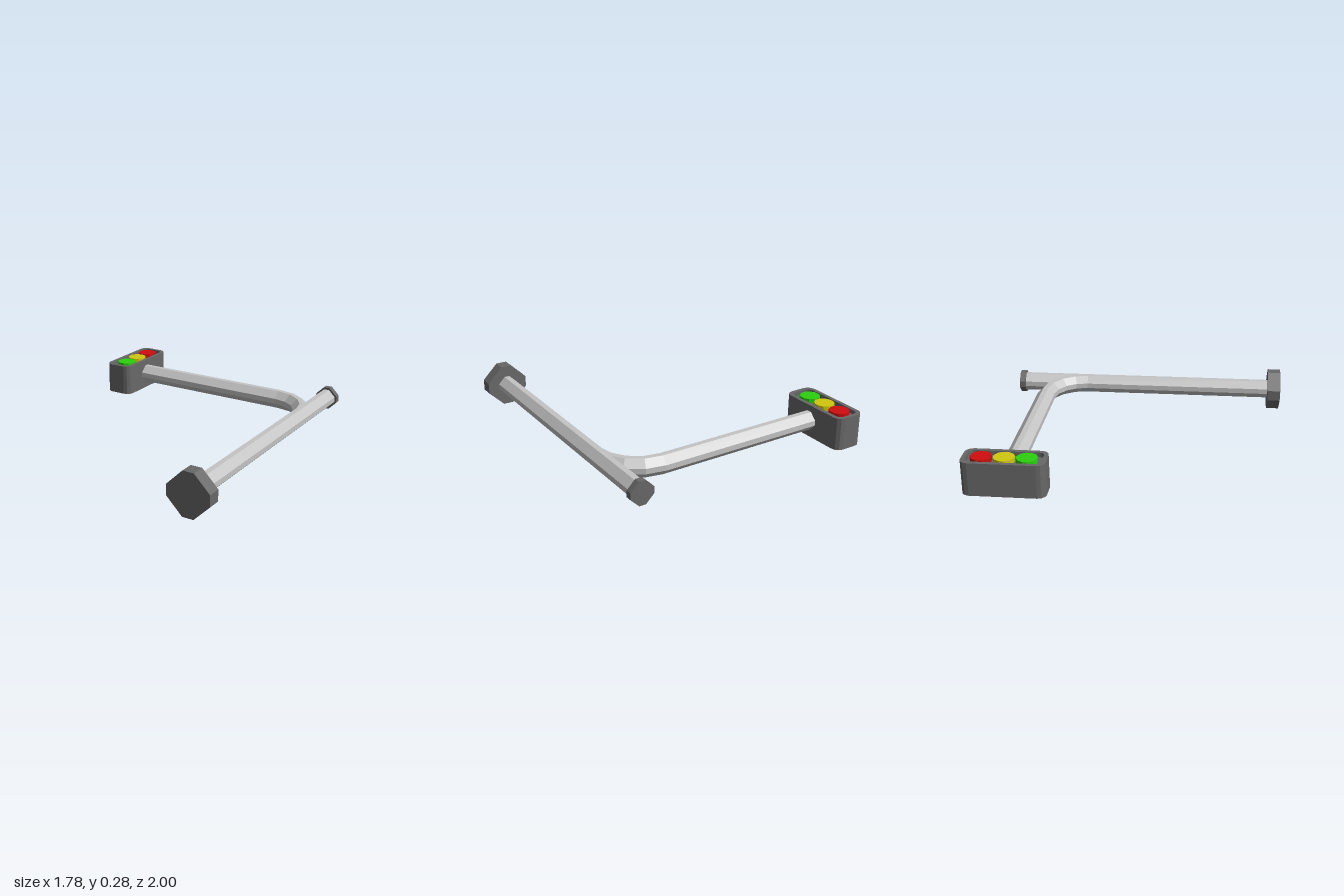
import * as THREE from 'three';

const mat = (name, color) => new THREE.MeshStandardMaterial({ name, color });

// Octagon with short straight sides and long diagonals, listed counter-clockwise
const octagon = (r, h) => [[r, -h], [r, h], [h, r], [-h, r], [-r, h], [-r, -h], [-h, -r], [h, -r]]
  .map(([x, y]) => new THREE.Vector2(x, y));

// Rounded rectangle with softly chamfered corners
function roundedRect(w, d, r, Path = THREE.Shape) {
  const pts = [];
  const corners = [[1, 1], [-1, 1], [-1, -1], [1, -1]];
  corners.forEach(([sx, sy], k) => {
    for (let i = 0; i <= 3; i++) {
      const a = (k + i / 3) * Math.PI / 2;
      pts.push(new THREE.Vector2(sx * (w / 2 - r) + r * Math.cos(a), sy * (d / 2 - r) + r * Math.sin(a)));
    }
  });
  return new Path(pts);
}

const extrude = (shape, depth) => new THREE.ExtrudeGeometry(shape, { depth, bevelEnabled: false });

// Sweep a section along a level path of { x, z, tx, tz } stations, with flat facets
function sweep(path, section, y) {
  const ring = path.map(p => section.map(s => [p.x + s.x * p.tz, y + s.y, p.z - s.x * p.tx]));
  const n = section.length, pos = [];
  for (let i = 0; i < ring.length - 1; i++) {
    for (let j = 0; j < n; j++) {
      const k = (j + 1) % n;
      const a = ring[i][j], b = ring[i][k], c = ring[i + 1][k], d = ring[i + 1][j];
      pos.push(...a, ...b, ...c, ...a, ...c, ...d);
    }
  }
  const first = ring[0], last = ring[ring.length - 1];
  for (let j = 1; j < n - 1; j++) {
    pos.push(...first[0], ...first[j + 1], ...first[j], ...last[0], ...last[j], ...last[j + 1]);
  }
  const g = new THREE.BufferGeometry();
  g.setAttribute('position', new THREE.Float32BufferAttribute(pos, 3));
  g.computeVertexNormals();
  return g;
}

export function createModel() {
  const model = new THREE.Group();
  model.name = 'trafficLight';
  const metal = mat('lightGreyMetal', 0xc4c4c4);
  const dark = mat('darkGrey', 0x686868);
  const lensColors = [['redLens', 0xd00d0d], ['yellowLens', 0xd0c70e], ['greenLens', 0x2bd00d]];

  const add = (name, geometry, material, x, y, z) => {
    const mesh = new THREE.Mesh(geometry, material);
    mesh.name = name;
    mesh.position.set(x, y, z);
    model.add(mesh);
    return mesh;
  };

  const poleX = 0.745, axisY = 0.144;

  // Pole lying along z, with a broad foot and a small end cap
  const bar = (name, r, h, z0, z1, m) =>
    add(name, extrude(new THREE.Shape(octagon(r, h)), z1 - z0), m, poleX, axisY, z0);
  bar('pole', 0.064, 0.018, -0.92, 0.92, metal);
  bar('foot', 0.142, 0.037, 0.91, 1, dark);
  bar('endCap', 0.078, 0.022, -0.96, -0.917, dark);

  // Arm: straight from the housing, then a quarter bend into the pole
  const armZ = -0.717, bend = 0.28, steps = 4;
  const path = [{ x: -0.7, z: armZ, tx: 1, tz: 0 }];
  for (let i = 0; i <= steps; i++) {
    const a = i / steps * Math.PI / 2, s = Math.sin(a), c = Math.cos(a);
    path.push({ x: poleX - bend + bend * s, z: armZ + bend - bend * c, tx: c, tz: s });
  }
  add('arm', sweep(path, octagon(0.063, 0.018), axisY), metal, 0, 0, 0);

  // Lamp housing: solid body with a raised rim around a shallow tray
  const boxX = -0.79, boxZ = -0.738, w = 0.21, d = 0.524;
  const body = extrude(roundedRect(w, d, 0.052), 0.19).rotateX(-Math.PI / 2);
  add('housingBody', body, dark, boxX, 0.03, boxZ);
  const rimShape = roundedRect(w, d, 0.052);
  rimShape.holes.push(roundedRect(w - 0.054, d - 0.054, 0.035, THREE.Path));
  add('housingRim', extrude(rimShape, 0.03).rotateX(-Math.PI / 2), dark, boxX, 0.22, boxZ);

  // Three lenses seated in the tray
  lensColors.forEach(([name, color], i) => {
    const lens = new THREE.CylinderGeometry(0.067, 0.067, 0.038, 12).rotateY(Math.PI / 12);
    add(name, lens.toNonIndexed(), mat(name, color), boxX, 0.234, -0.884 + i * 0.142).geometry.computeVertexNormals();
  });

  return model;
}
